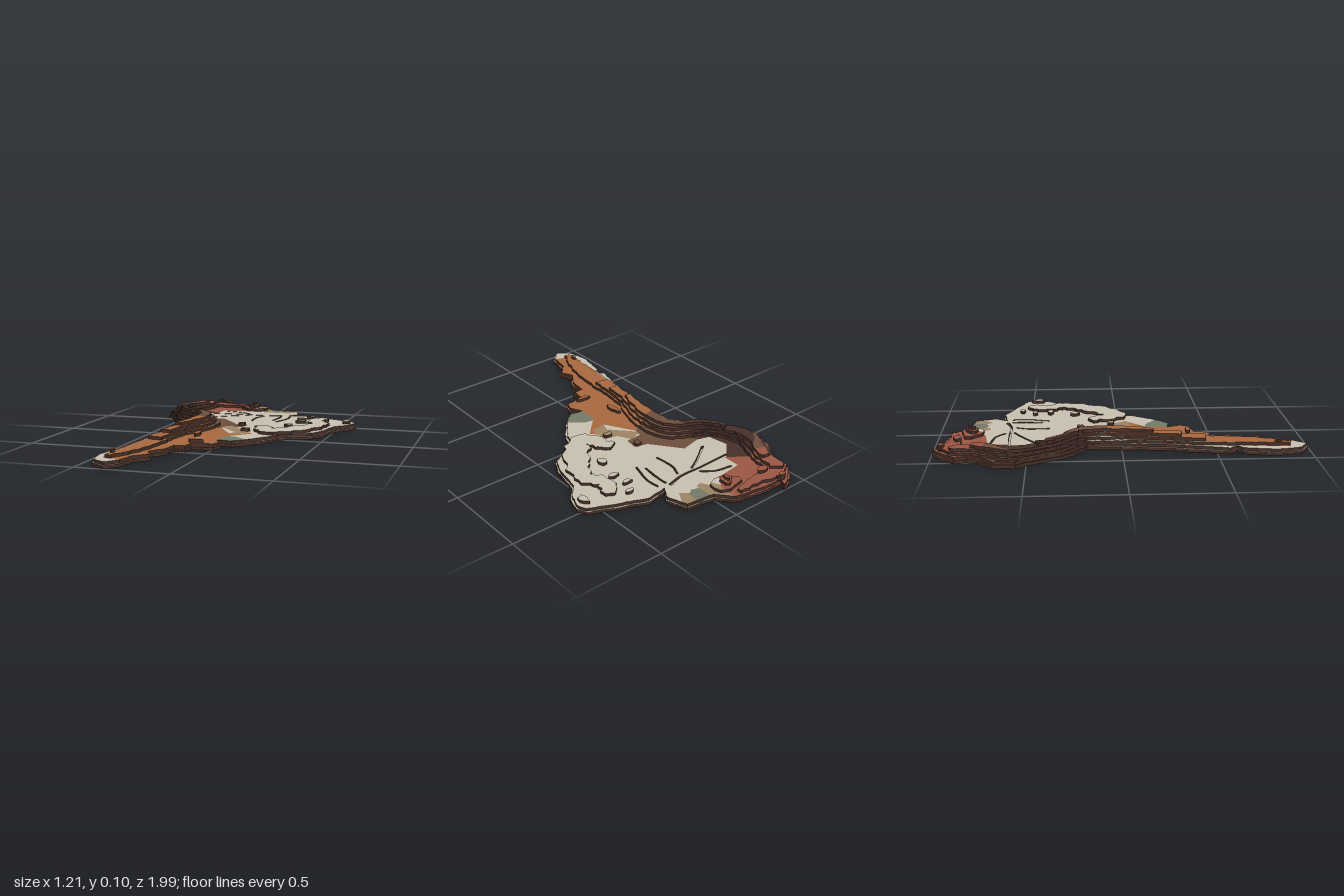
import * as THREE from 'three';

// Map units: 189 per model unit, origin at (1134, 225), y running south (+z)
const SCALE = 189, OX = 1134, OY = 225, STEP = 0.0167;

const mat = (name, color) => new THREE.MeshStandardMaterial({ name, color });
const cream = mat('cream', 0xc8bfae), red = mat('brick red', 0x9a5745);
const dark = mat('dark brown', 0x46312a), brown = mat('mid brown', 0x6e4e3d);
const orange = mat('burnt orange', 0xa86940), tan = mat('tan', 0x9c8564);
const green = mat('grey green', 0x727b67), edge = mat('edge brown', 0x452f27);

// Outer coastline, clockwise from the northern cape
const coastline = [1069,36, 1064,44, 1085,44, 1120,50, 1134,66, 1165,70, 1173,92, 1164,104, 1186,100, 1222,114,
  1244,124, 1248,134, 1243,150, 1230,165, 1224,195, 1216,212, 1183,228, 1178,245, 1157,272, 1148,280, 1133,278,
  1140,290, 1136,300, 1114,304, 1113,318, 1102,318, 1100,338, 1090,352, 1096,366, 1084,378, 1080,400, 1068,413,
  1053,403, 1048,378, 1054,345, 1062,340, 1054,332, 1070,265, 1076,190, 1055,175, 1045,163, 1028,130, 1020,121,
  1022,98, 1036,84, 1040,72, 1037,60, 1047,48, 1060,38];

const points = a => Array.from({ length: a.length / 2 }, (_, i) => new THREE.Vector2(a[2 * i], a[2 * i + 1]));
const orient = (p, positive) => (THREE.ShapeUtils.area(p) > 0) === positive ? p : p.slice().reverse();

let seed = 7;
const random = () => (seed = (seed * 16807) % 2147483647) / 2147483647;
const jitter = amount => (random() - 0.5) * amount;

// Subdivides an outline and makes it ragged
function roughen(pts, amount) {
  return pts.flatMap((a, i) => {
    const b = pts[(i + 1) % pts.length], n = Math.max(1, Math.round(a.distanceTo(b) / 4));
    return Array.from({ length: n }, (_, k) => {
      const p = a.clone().lerp(b, k / n);
      return k ? p.add(new THREE.Vector2(jitter(amount), jitter(amount))) : p;
    });
  });
}

// Moves a positively oriented outline inwards
function inset(pts, d) {
  return pts.map((p, i) => {
    const t = pts[(i + 1) % pts.length].clone().sub(pts[(i + pts.length - 1) % pts.length]).normalize();
    return new THREE.Vector2(p.x - t.y * d, p.y + t.x * d);
  });
}

// Curve through (x, y, half width) triples
const spine = (...a) => new THREE.CatmullRomCurve3(
  Array.from({ length: a.length / 3 }, (_, i) => new THREE.Vector3(a[3 * i], a[3 * i + 1], a[3 * i + 2])));

// Outline of a strip along part of a spine, its widths times scale, its edges wobbling
function strip(curve, scale, wobble, from = 0, to = 1, steps = 12) {
  const path = Array.from({ length: steps + 1 }, (_, i) => curve.getPoint(from + (to - from) * i / steps));
  const side = s => path.map((p, i) => {
    const a = path[Math.max(i - 1, 0)], b = path[Math.min(i + 1, steps)];
    const w = s * (p.z * scale + jitter(wobble)) / Math.hypot(b.x - a.x, b.y - a.y);
    return new THREE.Vector2(p.x - (b.y - a.y) * w, p.y + (b.x - a.x) * w);
  });
  return [...side(1), ...side(-1).reverse()];
}

// Ragged oval hill
const hill = (x, y, rx, ry) => Array.from({ length: 10 }, (_, i) => {
  const r = 1 + jitter(0.5), t = i * Math.PI / 5;
  return new THREE.Vector2(x + rx * r * Math.cos(t), y + ry * r * Math.sin(t));
});

const triangles = (outline, holes = []) => {
  const all = [outline, ...holes].flat();
  return THREE.ShapeUtils.triangulateShape(outline, holes).map(t => orient(t.map(i => all[i]), true));
};

// Splits a convex polygon along line a-b into its left and right parts
function split(poly, a, b) {
  const side = p => (b.x - a.x) * (p.y - a.y) - (b.y - a.y) * (p.x - a.x);
  const left = [], right = [];
  poly.forEach((p, i) => {
    const q = poly[(i + 1) % poly.length], sp = side(p), sq = side(q);
    if (sp >= 0) left.push(p);
    if (sp <= 0) right.push(p);
    if (sp * sq < 0) {
      const m = p.clone().lerp(q, sp / (sp - sq));
      left.push(m);
      right.push(m);
    }
  });
  return [left, right];
}
const solid = p => p.length > 2 && Math.abs(THREE.ShapeUtils.area(p)) > 1e-4;

// Separates a convex piece into the part inside a triangle and the rest
function carve(piece, tri) {
  const rest = [];
  let inside = piece;
  for (let i = 0; i < 3; i++) {
    const [l, r] = split(inside, tri[i], tri[(i + 1) % 3]);
    if (!solid(l)) return [null, [piece]];
    if (solid(r)) rest.push(r);
    inside = l;
  }
  return [inside, rest];
}

export function createModel() {
  const group = new THREE.Group();
  group.name = 'continentReliefMap';
  const areas = [], walls = [], base = [];
  const put = (out, p, y) => out.push((p.x - OX) / SCALE, y, (p.y - OY) / SCALE);

  // Colour regions, carved in this order; they may reach past the coast
  const region = (name, material, ...a) => areas.push({ name, material, tris: triangles(points(a)), out: [] });
  region('peru', dark, 1010,122, 1030,118, 1038,106, 1056,93, 1076,108, 1058,126, 1062,148, 1076,152, 1080,188,
    1072,194, 1010,160);
  region('bolivia', brown, 1076,152, 1098,147, 1122,178, 1136,182, 1134,196, 1116,197, 1113,208, 1088,212, 1078,188);
  region('ecuador', brown, 1012,125, 1012,92, 1036,84, 1058,93, 1040,118);
  region('colombiaAndVenezuela', red, 1020,92, 1020,25, 1130,25, 1119,54, 1124,66, 1110,86, 1078,90, 1078,110, 1056,93);
  region('guyana', tan, 1115,48, 1137,58, 1137,88, 1130,90, 1120,72);
  region('suriname', green, 1137,56, 1153,62, 1152,82, 1145,87, 1136,84);
  region('frenchGuiana', tan, 1153,60, 1174,64, 1158,90, 1150,84);
  region('paraguay', tan, 1112,202, 1128,195, 1136,210, 1150,214, 1150,236, 1132,238, 1136,228);
  region('uruguay', green, 1133,252, 1144,254, 1160,266, 1150,286, 1132,282);
  region('argentina', orange, 1082,210, 1113,205, 1132,238, 1150,226, 1156,232, 1134,254, 1132,280, 1150,300,
    1083,400, 1058,392, 1068,310);
  region('brazilAndChile', cream, 1000,0, 1300,0, 1300,450, 1000,450);

  // One terrace: brown walls round its rings, top coloured region by region
  function addTerrace(level, outline, holes = []) {
    const y = level * STEP, low = y - STEP;
    [orient(outline, true), ...holes.map(h => orient(h, false))].forEach(ring => ring.forEach((a, i) => {
      const b = ring[(i + 1) % ring.length];
      [[a, low], [b, y], [b, low], [a, low], [a, y], [b, y]].forEach(([p, h]) => put(walls, p, h));
    }));
    let pieces = triangles(outline, holes);
    for (const area of areas) for (const tri of area.tris) {
      pieces = pieces.flatMap(piece => {
        const [inside, rest] = carve(piece, tri);
        if (inside) for (let k = 1; k < inside.length - 1; k++)
          [inside[0], inside[k + 1], inside[k]].forEach(p => put(area.out, p, y));
        return rest;
      });
    }
  }

  // Coastal slab, and the lowland with river grooves cut into it
  const coast = orient(points(coastline), true);
  const shore = roughen(coast, 1.6);
  const rivers = [
    spine(1072,112,1, 1110,111,1, 1136,111,1, 1155,106,1.6), spine(1116,106,1, 1104,97,1, 1084,93,1),
    spine(1118,115,1, 1102,124,1, 1080,139,1), spine(1136,116,1, 1131,130,1, 1132,152,1),
    spine(1156,111,1, 1156,126,1, 1154,144,1), spine(1166,111,1, 1167,126,1, 1160,151,1),
  ];
  addTerrace(1, shore);
  addTerrace(2, roughen(inset(coast, 1.8), 1.2), rivers.map(r => strip(r, 1.1, 0.4)));
  triangles(shore).forEach(t => t.forEach(p => put(base, p, 0)));

  // Andes: narrowing, shortening strips along one spine, south to north
  const andes = spine(1064,394,3, 1072,360,9, 1077,310,11, 1083,262,9, 1091,215,16, 1087,182,15, 1059,161,9,
    1045,141,9, 1037,114,12, 1050,85,10, 1057,58,9, 1085,57,6, 1112,55,3);
  [[3, 1, 0, 12], [4, 0.75, 2, 10], [5, 0.55, 2.5, 9.3], [6, 0.35, 3.1, 7]].forEach(([level, width, from, to]) =>
    addTerrace(level, strip(andes, width, 2.5, from / 12, to / 12, Math.round((to - from) * 8))));

  // Eastern highlands with scattered hills round them
  const highlands = spine(1155,195,6, 1172,222,11, 1198,200,12, 1214,165,9, 1204,146,8, 1213,128,6);
  addTerrace(3, strip(highlands, 1, 5, 0, 1, 40));
  for (let i = 0; i < 7; i++) {
    const p = highlands.getPoint(i / 6);
    addTerrace(3, hill(p.x - 18 - random() * 10, p.y - 8 + jitter(10), 3 + random() * 3, 2 + random() * 3));
  }
  addTerrace(3, hill(1237, 137, 4, 7));

  // Northern table mountains and ranges
  [[3, 15, 10], [4, 6, 6], [5, 2, 4]].forEach(([level, rx, ry]) => addTerrace(level, hill(1112, 72, rx, ry)));
  [3, 4].forEach(level => addTerrace(level, hill(1062, 46, 8 - level, 3)));
  addTerrace(5, hill(1074, 61, 6, 4));

  // Southern hills
  addTerrace(3, hill(1115, 296, 8, 3));
  addTerrace(3, hill(1104, 256, 3, 9));
  addTerrace(4, hill(1064, 381, 2, 4));

  const addMesh = (name, material, positions) => {
    const geometry = new THREE.BufferGeometry();
    geometry.setAttribute('position', new THREE.Float32BufferAttribute(positions, 3));
    geometry.computeVertexNormals();
    const mesh = new THREE.Mesh(geometry, material);
    mesh.name = name;
    group.add(mesh);
  };
  areas.forEach(a => addMesh(a.name, a.material, a.out));
  addMesh('terraceWalls', edge, walls);
  addMesh('underside', edge, base);
  return group;
}
